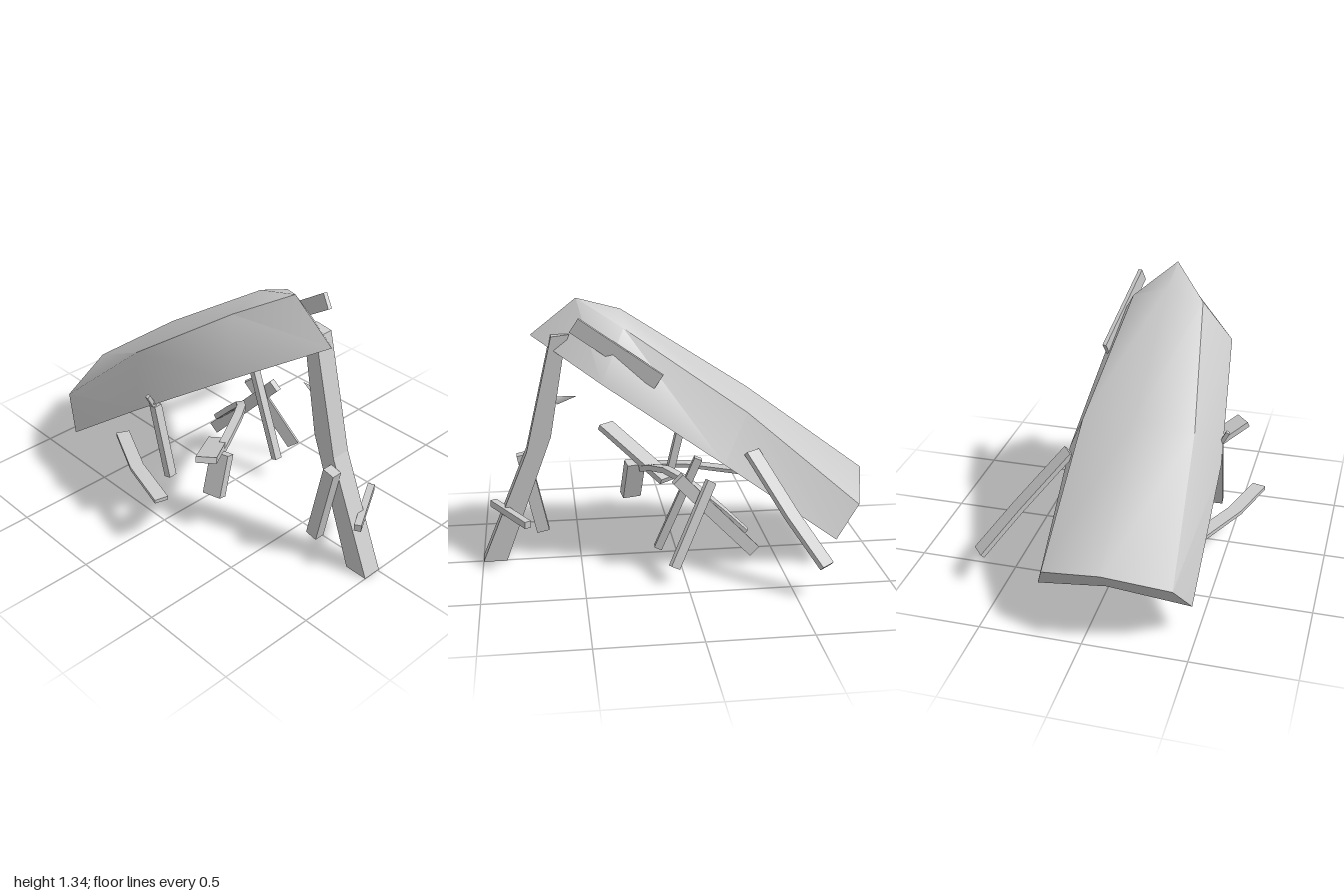
import * as THREE from 'three';
import { toCreasedNormals } from 'three/addons/utils/BufferGeometryUtils.js';

const V = (x, y, z) => new THREE.Vector3(x, y, z);

// Skin equal-length rings; the last ring is capped, the first one on request.
function loft(rings, capStart, crease) {
  const pos = [];
  const tri = (a, b, c) => {
    const area = b.clone().sub(a).cross(c.clone().sub(a)).length();
    if (area > 1e-7) pos.push(...a.toArray(), ...b.toArray(), ...c.toArray());
  };
  const n = rings[0].length;
  for (let i = 0; i < rings.length - 1; i++) {
    for (let k = 0; k < n; k++) {
      const m = (k + 1) % n;
      tri(rings[i][k], rings[i][m], rings[i + 1][m]);
      tri(rings[i][k], rings[i + 1][m], rings[i + 1][k]);
    }
  }
  const first = rings[0], last = rings[rings.length - 1];
  for (let k = 1; k < n - 1; k++) {
    tri(last[0], last[k], last[k + 1]);
    if (capStart) tri(first[0], first[k + 1], first[k]);
  }
  const geometry = new THREE.BufferGeometry();
  geometry.setAttribute('position', new THREE.Float32BufferAttribute(pos, 3));
  return toCreasedNormals(geometry, crease);
}

// Rectangular beam along a path: w is its level width, t its thickness.
function beam(path, w, t) {
  const rings = path.map((p, i) => {
    const dir = path[Math.min(i + 1, path.length - 1)].clone()
      .sub(path[Math.max(i - 1, 0)]).normalize();
    const side = dir.clone().cross(V(0, 1, 0)).normalize();
    const normal = dir.clone().cross(side);
    return [[1, 1], [-1, 1], [-1, -1], [1, -1]].map(([a, b]) =>
      p.clone().addScaledVector(side, a * w / 2).addScaledVector(normal, b * t / 2));
  });
  return loft(rings, true, 0.5);
}

export function createModel() {
  const group = new THREE.Group();
  const wood = new THREE.MeshStandardMaterial({ color: 0xcccccc });
  wood.name = 'greyWood';
  const add = (name, geometry) => {
    const mesh = new THREE.Mesh(geometry, wood);
    mesh.name = name;
    group.add(mesh);
    return mesh;
  };
  const board = (name, w, t, ...path) => add(name, beam(path, w, t));

  // Upturned hull: a mirrored station of keel, chine, rim and inner centre line
  const station = (keel, chine, rim, inner) => {
    const half = [keel, chine, rim, inner];
    const ring = [...half, rim.clone().setX(-rim.x), chine.clone().setX(-chine.x)];
    return ring.map((p) => p.clone().add(V(-0.095, 0, 0)));
  };
  const keelTip = V(0, 1.34, 0.49), rimTip = V(0, 1.16, 0.72);
  add('hull', loft([
    station(keelTip, keelTip, rimTip, rimTip),
    station(V(0, 1.28, 0.27), V(0.18, 1.22, 0.27), V(0.315, 0.98, 0.39), V(0, 1.08, 0.33)),
    station(V(0, 0.86, -0.37), V(0.275, 0.8, -0.33), V(0.385, 0.57, -0.2), V(0, 0.69, -0.28)),
    station(V(0, 0.39, -1), V(0.31, 0.3, -0.91), V(0.375, 0.14, -0.78), V(0, 0.27, -0.9)),
  ], false, 0.84));

  // Bent prop under the bow, outlined in side profile
  const profile = new THREE.Shape();
  profile.moveTo(-1, 0).lineTo(-0.88, 0).lineTo(-0.635, 0.66).lineTo(-0.555, 1.12)
    .lineTo(-0.53, 1.18).lineTo(-0.62, 1.17).lineTo(-0.76, 0.58).closePath();
  const post = new THREE.ExtrudeGeometry(profile, { depth: 0.1, bevelEnabled: false });
  add('bowProp', post.rotateY(Math.PI / 2).translate(-0.09, 0, 0));
  const splinter = add('propSplinter', new THREE.ConeGeometry(0.025, 0.11, 3));
  splinter.position.set(-0.03, 0.845, 0.55);
  splinter.rotation.x = -1.35;

  // Boards fixed to the prop
  board('propBrace', 0.055, 0.065, V(-0.118, 0.11, 0.69), V(-0.118, 0.535, 0.78));
  board('propCrossbar', 0.035, 0.035, V(-0.1, 0.28, 0.94), V(0.2, 0.27, 0.765));

  // Boards resting on the left side of the hull
  board('leaningBoard', 0.085, 0.025, V(0.25, 0.62, -0.34), V(0.47, 0.36, -0.5), V(0.63, 0.16, -0.64));
  board('bowSideBoard', 0.02, 0.08, V(0.1, 1.245, 0.51), V(0.185, 0.975, 0.11));

  // Loose boards on the right
  board('rightSlantedBoard', 0.1, 0.03, V(-0.5, 0.55, 0.33), V(-0.15, 0.345, 0.03));
  board('rightStump', 0.1, 0.055, V(-0.27, 0.41, 0.19), V(-0.345, 0.2, 0.21));
  board('rightFlatBoard', 0.07, 0.02, V(-0.625, 0.275, 0.14), V(-0.55, 0.285, -0.14), V(-0.41, 0.28, -0.43));
  board('rightUprightBoard', 0.045, 0.04, V(-0.44, 0.25, -0.01), V(-0.445, 0.63, -0.1));
  board('rightSplinter', 0.02, 0.02, V(-0.49, 0.7, -0.1), V(-0.44, 0.6, -0.1));

  // Loose boards on the left
  board('leftUprightBoard', 0.04, 0.04, V(0.19, 0.11, 0.12), V(0.21, 0.585, -0.08));
  board('leftCrossBoard', 0.035, 0.065, V(0.26, 0.5, 0.03), V(0.195, 0.07, -0.37));
  board('leftOuterBoard', 0.02, 0.065, V(0.38, 0.08, 0.06), V(0.24, 0.47, -0.14));

  // Curved rib under the hull
  const rib = new THREE.CatmullRomCurve3([V(-0.25, 0.38, 0.15), V(-0.03, 0.445, 0.05),
    V(0.13, 0.38, -0.1), V(0.18, 0.17, -0.33)]);
  board('brokenRib', 0.045, 0.03, ...rib.getPoints(6));
  return group;
}
